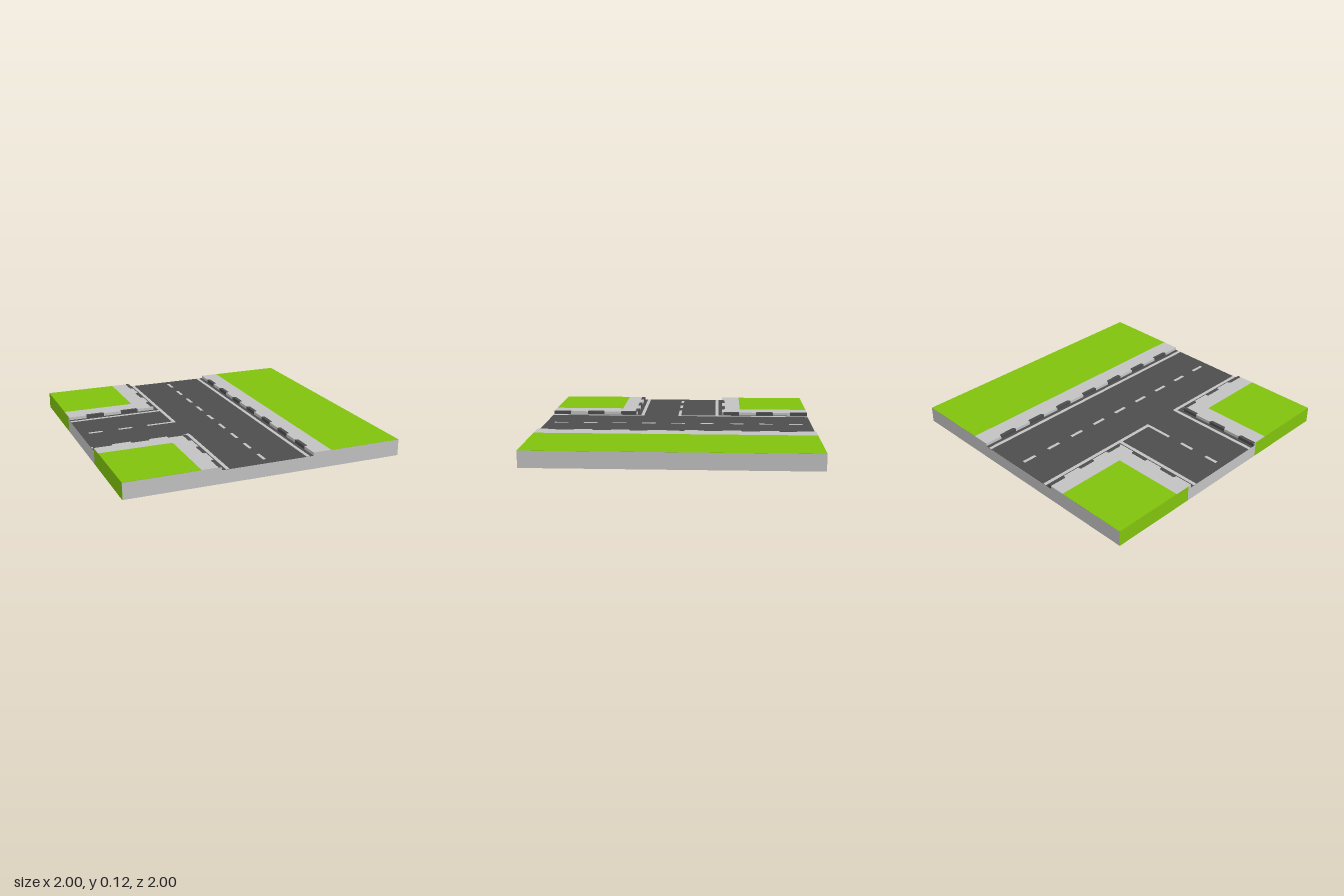
import * as THREE from 'three';

const ROAD = 0.0955, TOP = 0.117, KERB = 0.333;

export function createModel() {
  const model = new THREE.Group();
  model.name = 'roadJunctionTile';

  const mat = (name, color) => {
    const m = new THREE.MeshStandardMaterial({ color });
    m.name = name;
    return m;
  };
  const concrete = mat('concrete', 0xc2c2c2);
  const asphalt = mat('asphalt', 0x4d4d4d);
  const grass = mat('grass', 0x80c20d);

  // Box given by its extents
  const slab = (name, material, x0, x1, y0, y1, z0, z1) => {
    const mesh = new THREE.Mesh(new THREE.BoxGeometry(x1 - x0, y1 - y0, z1 - z0), material);
    mesh.position.set((x0 + x1) / 2, (y0 + y1) / 2, (z0 + z1) / 2);
    mesh.name = name;
    model.add(mesh);
    return mesh;
  };

  // Upright prism from an [x, z] outline
  const prism = (name, material, outline, y0, y1) => {
    const shape = new THREE.Shape(outline.map(([x, z]) => new THREE.Vector2(x, -z)));
    const geo = new THREE.ExtrudeGeometry(shape, { depth: y1 - y0, bevelEnabled: false });
    geo.rotateX(-Math.PI / 2);
    const mesh = new THREE.Mesh(geo, material);
    mesh.position.y = y0;
    mesh.name = name;
    model.add(mesh);
    return mesh;
  };

  // Base slab and road surface
  slab('base', concrete, -0.998, 1, 0, 0.094, -1, 1);
  slab('mainRoad', asphalt, -KERB, KERB, 0.094, ROAD, -1, 1);
  slab('sideRoad', asphalt, -1, -KERB, 0.094, ROAD, -KERB, KERB);

  // Raised pavements with grass on top
  slab('rightPavement', concrete, KERB, 1, 0.094, TOP - 0.001, -1, 1);
  slab('rightGrass', grass, 0.467, 1, TOP - 0.001, TOP, -1, 1);
  slab('rightPavementTop', concrete, KERB, 0.467, TOP - 0.001, TOP, -1, 1);
  for (const s of [-1, 1]) {
    const side = s < 0 ? 'back' : 'front';
    const edge = s < 0 ? 0.475 : 0.465;
    prism(side + 'Pavement', concrete, [
      [-0.998, s * KERB], [-KERB - 0.012, s * KERB], [-KERB, s * (KERB + 0.012)],
      [-KERB, s], [-0.998, s],
    ], 0.094, TOP - 0.001);
    slab(side + 'Grass', grass, -1, -0.472, TOP - 0.002, TOP, Math.min(s, s * edge), Math.max(s, s * edge));
    // End wall of the corner plot
    slab(side + 'GrassWall', grass, -1, -0.998, 0, TOP - 0.002, Math.min(s, s * 0.36), Math.max(s, s * 0.36));
    slab(side + 'PavementEnd', concrete, -1, -0.998, 0.094, TOP - 0.001,
      Math.min(s * KERB, s * 0.36), Math.max(s * KERB, s * 0.36));
  }
  slab('sideRoadWall', concrete, -1, -0.998, 0, 0.094, -0.36, 0.36);

  // Painted road lines
  const line = (name, x0, x1, z0, z1) => slab(name, concrete, x0, x1, ROAD - 0.001, ROAD + 0.0015, z0, z1);
  line('rightEdgeLine', 0.28, 0.305, -1, 1);
  line('backEdgeLine', -0.305, -0.28, -1, 0.01);
  line('backSideLine', -1, -0.305, -0.305, -0.28);
  prism('frontEdgeLine', concrete, [
    [-1, 0.28], [-0.29, 0.28], [-0.28, 0.29], [-0.28, 1], [-0.305, 1], [-0.305, 0.305], [-1, 0.305],
  ], ROAD - 0.001, ROAD + 0.0015);
  for (let k = -4; k <= 4; k++) {
    line('centreDash', -0.011, 0.011, k * 0.221 - 0.052, k * 0.221 + 0.052);
  }
  for (const [x0, x1] of [[-0.94, -0.84], [-0.72, -0.615], [-0.5, -0.305]]) {
    line('sideDash', x0, x1, -0.011, 0.011);
  }

  // Dark kerb stones wrapping over the pavement edge:
  // a and b run along the kerb, place maps (along, inward) to [x, z]
  const kerbStone = (a, b, place) => {
    const end = (v) => (Math.abs(v) > 0.99 ? 0 : 0.008);
    prism('kerbStone', asphalt, [
      place(a, -0.002), place(b, -0.002), place(b, 0.014),
      place(b - end(b), 0.023), place(a + end(a), 0.023), place(a, 0.014),
    ], ROAD - 0.001, TOP + 0.001);
  };
  for (let k = -3; k <= 3; k++) {
    kerbStone(k * 0.267 - 0.067, k * 0.267 + 0.067, (t, d) => [KERB + d, t]);
  }
  for (const s of [-1, 1]) {
    for (const [a, b] of [[0.345, 0.467], [0.6, 0.733], [0.867, 1]]) {
      kerbStone(a, b, (t, d) => [-KERB - d, s * t]);
    }
  }
  for (const [a, b] of [[-0.867, -0.733], [-0.6, -0.467]]) {
    kerbStone(a, b, (t, d) => [t, -KERB - d]);
  }
  for (const [a, b] of [[-1, -0.867], [-0.733, -0.6], [-0.467, -0.345]]) {
    kerbStone(a, b, (t, d) => [t, KERB + d]);
  }

  // Top skin of the corner pavements around the grass
  for (const s of [-1, 1]) {
    const edge = s < 0 ? 0.475 : 0.465;
    prism('pavementTop', concrete, [
      [-1, s * KERB], [-KERB - 0.012, s * KERB], [-KERB, s * (KERB + 0.012)],
      [-KERB, s], [-0.472, s], [-0.472, s * edge], [-1, s * edge],
    ], TOP - 0.001, TOP);
  }
  return model;
}
